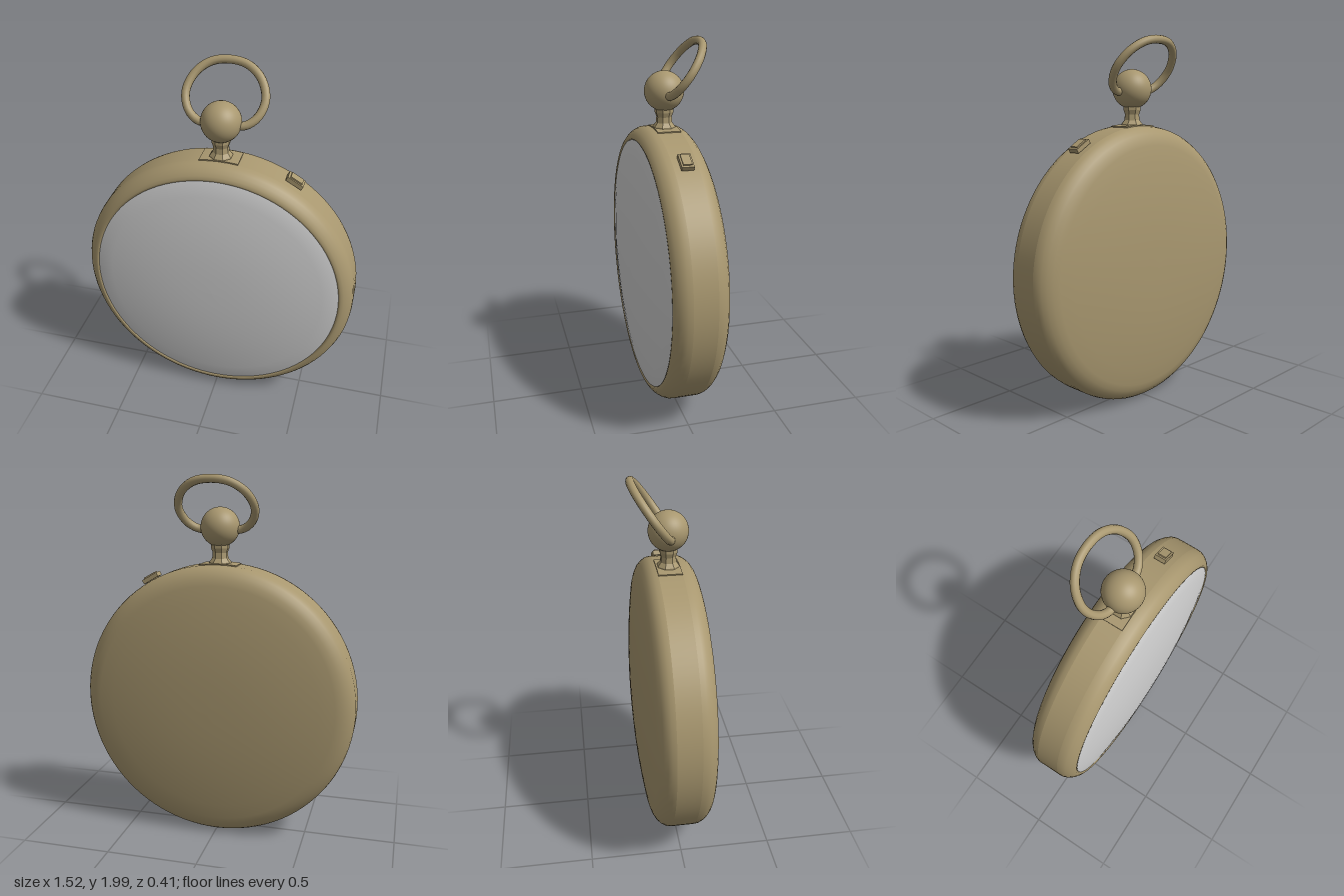
import * as THREE from 'three';

const CY = 0.77;   // height of the case centre
const R = 0.76;    // case radius

export function createModel() {
  const model = new THREE.Group();
  const brass = new THREE.MeshStandardMaterial({ color: 0xa8976f });
  brass.name = 'brass';
  const crystal = new THREE.MeshStandardMaterial({ color: 0xd0d0d0 });
  crystal.name = 'pale crystal';

  function add(name, geometry, material, parent = model) {
    const mesh = new THREE.Mesh(geometry, material);
    mesh.name = name;
    parent.add(mesh);
    return mesh;
  }
  const v2 = ([x, y]) => new THREE.Vector2(x, y);

  // Round case parts: profiles of [radius, z], listed from back to front
  function turned(name, profile, material) {
    const geometry = new THREE.LatheGeometry(profile.map(v2), 96);
    geometry.rotateX(Math.PI / 2);
    add(name, geometry, material).position.y = CY;
  }
  // A shallow dome from the axis to its rim
  const dome = (rim, zRim, zTop) => Array.from({ length: 9 }, (_, i) => {
    const t = i / 8;
    return [rim * t, zTop + (zRim - zTop) * Math.pow(t, 2.3)];
  });

  turned('backCover', [
    ...dome(0.66, -0.153, -0.203),
    [0.695, -0.142], [0.722, -0.127], [0.742, -0.108], [0.755, -0.087], [R, -0.065],
  ], brass);
  turned('caseBand', [[R, -0.065], [R, 0.06]], brass);
  turned('bezel', [
    [R, 0.06], [0.757, 0.085], [0.747, 0.107], [0.732, 0.126],
    [0.715, 0.14], [0.7, 0.147], [0.69, 0.146], [0.683, 0.135],
  ], brass);
  turned('crystal', [[0.688, 0.13], ...dome(0.686, 0.143, 0.2).reverse()], crystal);

  // Curved mounting plate that hugs the top of the band
  const plate = new THREE.Shape();
  const half = 0.135;
  plate.absarc(0, 0, R + 0.006, Math.PI / 2 - half, Math.PI / 2 + half, false);
  plate.absarc(0, 0, R - 0.02, Math.PI / 2 + half, Math.PI / 2 - half, true);
  const plateGeometry = new THREE.ExtrudeGeometry(plate, {
    depth: 0.125, bevelEnabled: false, curveSegments: 8,
  });
  plateGeometry.translate(0, CY, -0.065);
  add('neckPlate', plateGeometry, brass);

  // Faceted neck with a flared foot and collar
  const neck = new THREE.LatheGeometry([
    [0.066, 1.515], [0.06, 1.54], [0.044, 1.56], [0.041, 1.59], [0.05, 1.615], [0.05, 1.65],
  ].map(v2), 8, Math.PI / 8).toNonIndexed();
  neck.computeVertexNormals();
  add('neck', neck, brass);

  // Ball crown
  add('crownBall', new THREE.SphereGeometry(0.105, 40, 28), brass).position.y = 1.725;

  // Bow: a leaning loop whose two ends enter the ball
  const side = [[0.07, 1.71], [0.125, 1.717], [0.18, 1.757], [0.205, 1.83], [0.17, 1.91], [0.095, 1.962]];
  const path = [
    ...side,
    [0, 1.977],
    ...side.map(([x, y]) => [-x, y]).reverse(),
  ].map(([x, y]) => new THREE.Vector3(x, y, -0.7 * (y - 1.71)));
  const bowCurve = new THREE.CatmullRomCurve3(path);
  add('bow', new THREE.TubeGeometry(bowCurve, 48, 0.022, 12, false), brass);

  // Release button on the upper left rim: stem, cap and end ridge
  const button = new THREE.Group();
  button.name = 'releaseButton';
  button.position.y = CY;
  button.rotation.z = -0.527;
  const box = (name, w, h, d, y) =>
    add(name, new THREE.BoxGeometry(w, h, d), brass, button).position.set(0, y, -0.004);
  box('buttonStem', 0.06, 0.05, 0.045, 0.76);
  box('buttonCap', 0.095, 0.024, 0.064, 0.776);
  box('buttonRidge', 0.07, 0.01, 0.046, 0.79);
  model.add(button);

  return model;
}
